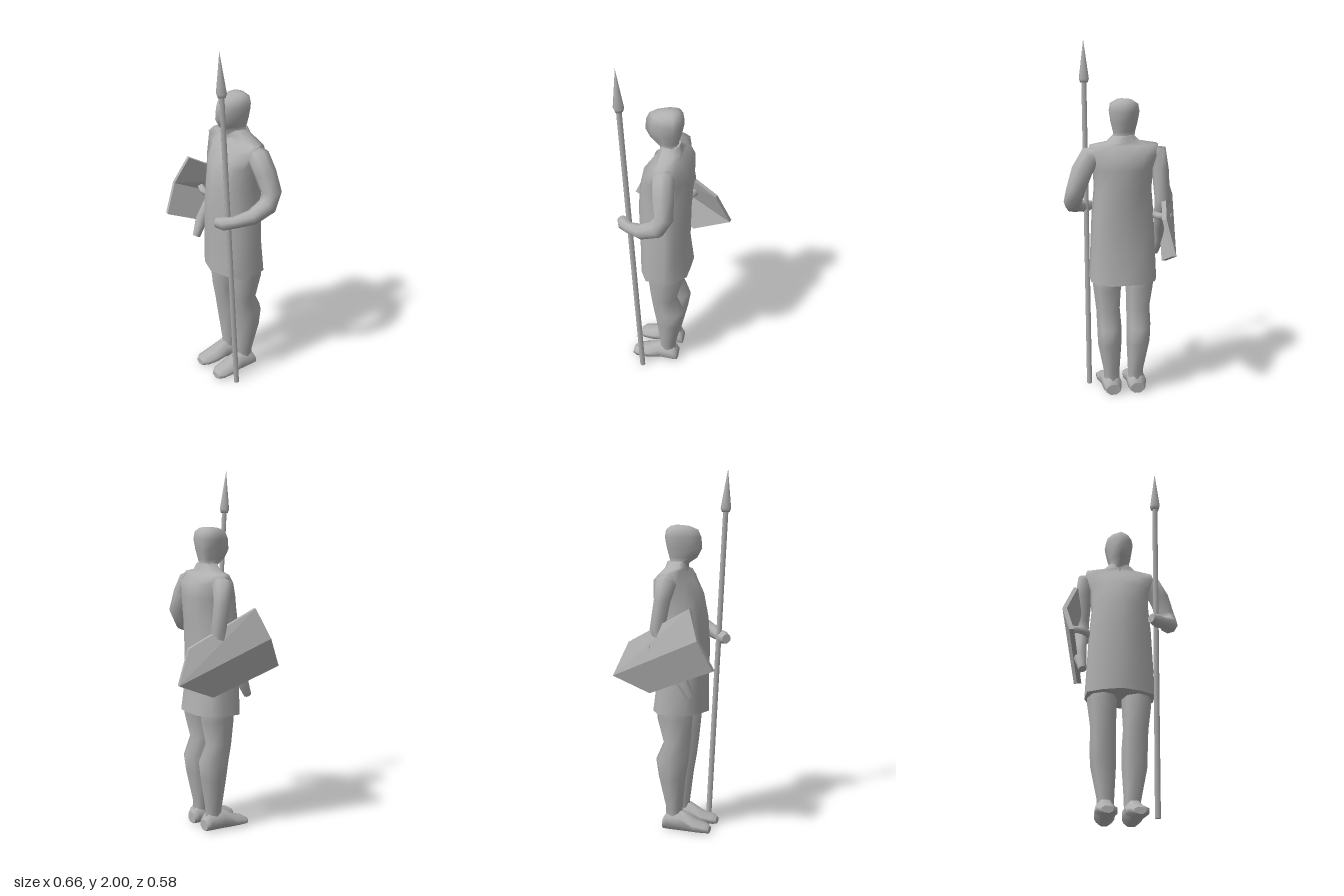
import * as THREE from 'three';

const stone = new THREE.MeshStandardMaterial({ color: 0xb0b0b0 });
stone.name = 'plain grey';
const V = (x, y, z) => new THREE.Vector3(x, y, z);

// Smooth skin over equal-length rings, with flat end caps
function loft(rings) {
  const n = rings[0].length, pos = [], idx = [];
  rings.flat().forEach(p => pos.push(p.x, p.y, p.z));
  for (let i = 0; i < rings.length - 1; i++) {
    for (let j = 0; j < n; j++) {
      const k = (j + 1) % n, a = i * n + j, b = i * n + k;
      idx.push(a, b, b + n, a, b + n, a + n);
    }
  }
  [rings[0], rings[rings.length - 1]].forEach((ring, end) => {
    const base = pos.length / 3;
    const mid = ring.reduce((s, p) => s.add(p), V(0, 0, 0)).divideScalar(n);
    [...ring, mid].forEach(p => pos.push(p.x, p.y, p.z));
    for (let j = 0; j < n; j++) {
      const a = base + j, b = base + (j + 1) % n;
      idx.push(base + n, end ? a : b, end ? b : a);
    }
  });
  const g = new THREE.BufferGeometry();
  g.setAttribute('position', new THREE.Float32BufferAttribute(pos, 3));
  g.setIndex(idx);
  g.computeVertexNormals();
  return g;
}

// Body section: rows of [y, half width, front z, back z]
function bodyRings(rows, half) {
  const shape = [...half, ...half.slice(1, -1).reverse().map(([x, z]) => [-x, z])];
  return rows.map(([y, w, f, b]) => shape.map(([x, z]) => V(x * w, y, z > 0 ? z * f : -z * b)));
}

// Limb along a path: rows of [x, y, z, radius]
function limbRings(rows, n = 8) {
  const pts = rows.map(r => V(r[0], r[1], r[2]));
  let u = V(0.1, 0, 1);
  return pts.map((p, i) => {
    const t = pts[Math.min(i + 1, pts.length - 1)].clone().sub(pts[Math.max(i - 1, 0)]).normalize();
    u = u.clone().addScaledVector(t, -u.dot(t)).normalize();
    const v = t.clone().cross(u);
    return Array.from({ length: n }, (_, j) => {
      const a = j / n * Math.PI * 2;
      return p.clone().addScaledVector(u, Math.cos(a) * rows[i][3]).addScaledVector(v, Math.sin(a) * rows[i][3]);
    });
  });
}

// Leg section: rows of [y, centre x, half width, front z, back z]
function legRings(rows, side, n = 8) {
  return rows.map(([y, cx, w, f, b]) => Array.from({ length: n }, (_, j) => {
    const a = j / n * Math.PI * 2;
    return V(side * cx + Math.sin(a) * w, y, (f + b) / 2 + Math.cos(a) * (f - b) / 2);
  }));
}

// Foot section: rows of [z, half width, height]
function footRings(rows, side, n = 8) {
  return rows.map(([z, w, h]) => Array.from({ length: n }, (_, j) => {
    const a = (j + 0.5) / n * Math.PI * 2;
    return V(side * (0.073 + z * 0.04) + Math.cos(a) * w * 1.08, h * (0.5 + 0.54 * Math.sin(a)), z);
  }));
}

// Bent six-cornered shield, outer corners counterclockwise
function shieldGeometry() {
  const outer = [
    V(-0.268, 1.27, 0.15), V(-0.19, 1.07, -0.215), V(-0.225, 0.885, -0.295),
    V(-0.222, 0.80, -0.085), V(-0.295, 0.95, 0.285), V(-0.33, 1.11, 0.21)];
  const inner = outer.map(p => p.clone().add(V(0.024, 0, 0.005)));
  const pos = [];
  const quad = (a, b, c, d) => [a, b, c, a, c, d].forEach(p => pos.push(p.x, p.y, p.z));
  for (const [a, b, c, d] of [[0, 1, 2, 5], [5, 2, 3, 4]]) {
    quad(outer[a], outer[b], outer[c], outer[d]);
    quad(inner[d], inner[c], inner[b], inner[a]);
  }
  outer.forEach((p, i) => {
    const j = (i + 1) % 6;
    quad(inner[i], inner[j], outer[j], p);
  });
  const g = new THREE.BufferGeometry();
  g.setAttribute('position', new THREE.Float32BufferAttribute(pos, 3));
  g.computeVertexNormals();
  return g;
}

export function createModel() {
  const model = new THREE.Group();
  model.name = 'spearman';
  const add = (name, geometry, parent = model) => {
    const m = new THREE.Mesh(geometry, stone);
    m.name = name;
    parent.add(m);
    return m;
  };

  // Tunic, from hem to collar
  add('tunic', loft(bodyRings([
    [0.675, 0.187, 0.185, -0.11], [0.85, 0.178, 0.185, -0.088], [1.05, 0.168, 0.19, -0.093],
    [1.2, 0.155, 0.18, -0.103], [1.32, 0.165, 0.155, -0.11], [1.4, 0.195, 0.1, -0.105],
    [1.448, 0.19, 0.06, -0.06], [1.465, 0.09, 0.065, -0.055], [1.5, 0.055, 0.06, -0.045]],
    [[0, 1], [0.55, 0.83], [0.97, 0.58], [1, 0], [0.88, -0.55], [0.48, -1], [0, -1.02]])));

  // Neck and head
  add('head', loft(bodyRings([
    [1.44, 0.09, 0.06, -0.06], [1.49, 0.055, 0.07, -0.035], [1.52, 0.058, 0.115, -0.04],
    [1.57, 0.07, 0.143, -0.055], [1.63, 0.08, 0.138, -0.067], [1.67, 0.074, 0.12, -0.06],
    [1.69, 0.045, 0.07, -0.035], [1.695, 0.01, 0.02, -0.01]],
    [[0, 1], [0.6, 0.72], [0.95, 0.3], [1, -0.4], [0.5, -0.85], [0, -1]])));

  // Legs and feet
  for (const [side, word] of [[1, 'left'], [-1, 'right']]) {
    add(word + 'Leg', loft(legRings([
      [0.05, 0.07, 0.045, 0.06, -0.045], [0.12, 0.07, 0.045, 0.055, -0.042],
      [0.3, 0.083, 0.068, 0.075, -0.08], [0.4, 0.085, 0.07, 0.092, -0.095],
      [0.5, 0.087, 0.068, 0.105, -0.05], [0.64, 0.093, 0.08, 0.118, -0.085],
      [0.72, 0.093, 0.08, 0.118, -0.08]], side)));
    add(word + 'Foot', loft(footRings([
      [-0.055, 0.04, 0.06], [-0.03, 0.052, 0.1], [0.055, 0.05, 0.11],
      [0.13, 0.056, 0.065], [0.19, 0.05, 0.05], [0.215, 0.03, 0.035]], side)));
  }

  // Left arm, bent forward to grip the spear
  add('leftArm', loft(limbRings([
    [0.12, 1.4, 0, 0.045], [0.19, 1.385, 0, 0.062], [0.235, 1.31, -0.01, 0.06],
    [0.272, 1.21, -0.025, 0.054], [0.282, 1.145, 0.01, 0.052], [0.272, 1.1, 0.1, 0.042],
    [0.22, 1.07, 0.18, 0.032], [0.18, 1.06, 0.22, 0.037], [0.145, 1.06, 0.245, 0.026]])));

  // Right arm, hanging behind the shield
  add('rightArm', loft(limbRings([
    [-0.12, 1.4, 0, 0.045], [-0.185, 1.39, -0.005, 0.06], [-0.2, 1.3, -0.02, 0.047],
    [-0.207, 1.15, -0.045, 0.043], [-0.21, 1.07, -0.02, 0.042], [-0.215, 0.96, 0.06, 0.03],
    [-0.222, 0.88, 0.095, 0.035], [-0.21, 0.79, 0.14, 0.022]])));

  // Shield with its arm strap
  add('shield', shieldGeometry());
  const strapPath = new THREE.CatmullRomCurve3([
    V(-0.275, 1.06, 0.06), V(-0.215, 1.05, 0.075), V(-0.18, 1.05, 0.03),
    V(-0.185, 1.05, -0.06), V(-0.25, 1.05, -0.09)]);
  add('shieldStrap', new THREE.TubeGeometry(strapPath, 12, 0.022, 6));

  // Spear, leaning slightly forward
  const spear = new THREE.Group();
  spear.name = 'spear';
  spear.position.set(0.18, 0, 0.137);
  spear.rotation.x = Math.atan(0.1 / 2);
  model.add(spear);
  add('spearShaft', new THREE.CylinderGeometry(0.015, 0.016, 1.78, 6).translate(0, 0.89, 0), spear);
  add('spearHead', new THREE.LatheGeometry([
    new THREE.Vector2(0, 1.765), new THREE.Vector2(0.022, 1.765), new THREE.Vector2(0.03, 1.785),
    new THREE.Vector2(0.018, 1.87), new THREE.Vector2(0, 2.0)], 6), spear);

  return model;
}
